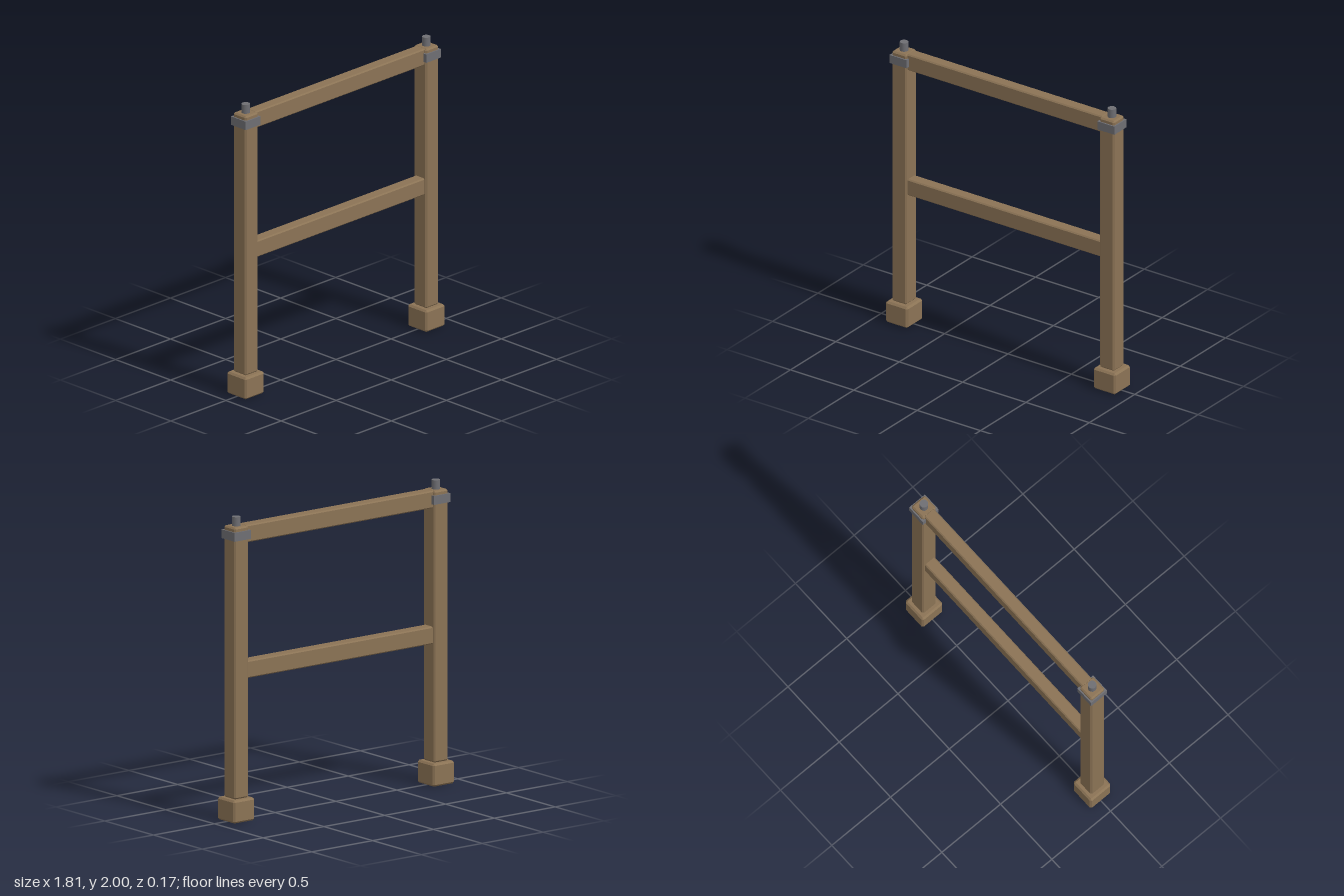
import * as THREE from 'three';
import { ConvexGeometry } from 'three/addons/geometries/ConvexGeometry.js';

// Box with flat chamfers of size c on every edge
function chamferBox(w, h, d, c) {
  const half = [w / 2, h / 2, d / 2];
  const points = [];
  for (const sx of [-1, 1]) for (const sy of [-1, 1]) for (const sz of [-1, 1]) {
    const s = [sx, sy, sz];
    for (let face = 0; face < 3; face++) {
      points.push(new THREE.Vector3(...half.map((v, i) => s[i] * (i === face ? v : v - c))));
    }
  }
  return new ConvexGeometry(points);
}

export function createModel() {
  const wood = new THREE.MeshStandardMaterial({ color: 0x8b7355 });
  wood.name = 'wood';
  const metal = new THREE.MeshStandardMaterial({ color: 0x6e6e73 });
  metal.name = 'metal';

  const model = new THREE.Group();
  model.name = 'fenceFrame';
  const add = (parent, name, geometry, material, y) => {
    const mesh = new THREE.Mesh(geometry, material);
    mesh.name = name;
    mesh.position.y = y;
    parent.add(mesh);
  };

  // Posts with foot block, metal band and top pin
  const foot = chamferBox(0.175, 0.15, 0.175, 0.012);
  const post = chamferBox(0.116, 1.79, 0.116, 0.01);
  const band = new THREE.BoxGeometry(0.134, 0.058, 0.134);
  const pin = new THREE.CylinderGeometry(0.028, 0.028, 0.12, 12);
  for (const [side, x] of [['left', 0.82], ['right', -0.82]]) {
    const group = new THREE.Group();
    group.name = side + 'PostAssembly';
    group.position.x = x;
    add(group, side + 'Foot', foot, wood, 0.075);
    add(group, side + 'Post', post, wood, 1.045);
    add(group, side + 'Band', band, metal, 1.883);
    add(group, side + 'Pin', pin, metal, 1.94);
    model.add(group);
  }

  // Horizontal rails between the posts
  const rail = chamferBox(1.55, 0.115, 0.083, 0.008);
  add(model, 'topRail', rail, wood, 1.883);
  add(model, 'middleRail', rail, wood, 0.988);

  return model;
}
